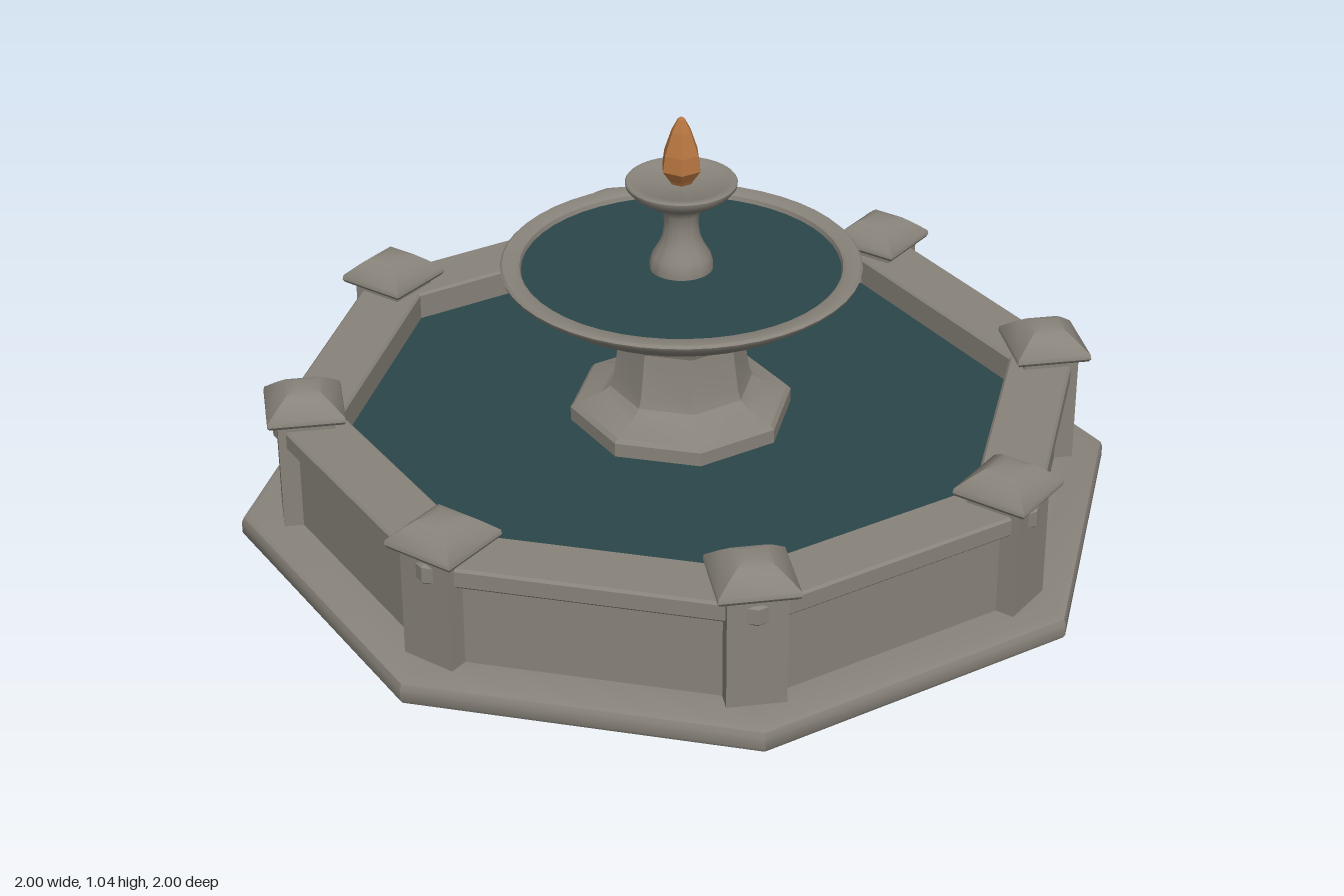
import * as THREE from 'three';
import { toCreasedNormals } from 'three/addons/utils/BufferGeometryUtils.js';

const stone = new THREE.MeshStandardMaterial({ color: 0x88837a });
stone.name = 'stone';
const water = new THREE.MeshStandardMaterial({ color: 0x2b4649, side: THREE.DoubleSide });
water.name = 'water';
const copper = new THREE.MeshStandardMaterial({ color: 0xb5753f });
copper.name = 'copper';

// Lathe whose profile is [distance to flat side, height]; flats face the axes
function prism(profile, sides, crease = 0.35) {
  const k = 1 / Math.cos(Math.PI / sides);
  const pts = profile.map(([r, y]) => new THREE.Vector2(r * k, y));
  return toCreasedNormals(new THREE.LatheGeometry(pts, sides, Math.PI / sides), crease);
}

// Smooth round lathe that keeps sharp rims
function turned(profile) {
  const pts = profile.map(([r, y]) => new THREE.Vector2(r, y));
  return toCreasedNormals(new THREE.LatheGeometry(pts, 48), 0.7);
}

// Flat sheet of water
function pool(radius, sides, y) {
  const g = new THREE.CircleGeometry(radius / Math.cos(Math.PI / sides), sides, Math.PI / sides);
  return g.rotateX(-Math.PI / 2).translate(0, y, 0);
}

export function createModel() {
  const group = new THREE.Group();
  group.name = 'fountain';
  const add = (name, geometry, material, parent = group) => {
    const mesh = new THREE.Mesh(geometry, material);
    mesh.name = name;
    parent.add(mesh);
    return mesh;
  };

  // Octagonal basin, open underneath, with a hollowed underside
  add('basePlinth', prism([
    [0.762, 0.055], [0.985, 0], [0.995, 0.003], [1, 0.012], [1, 0.04], [0.995, 0.053], [0.98, 0.06], [0.88, 0.06],
  ], 8, 0.6), stone);
  add('basinWall', prism([
    [0.89, 0.05], [0.89, 0.27], [0.91, 0.27], [0.916, 0.276], [0.916, 0.314], [0.91, 0.32],
    [0.768, 0.32], [0.762, 0.314], [0.762, 0.055],
  ], 8), stone);
  add('basinWater', pool(0.764, 8, 0.25), water);

  // Corner posts with pyramid caps
  const postShaft = new THREE.BoxGeometry(0.137, 0.29, 0.137).translate(0, 0.195, 0);
  const postCap = prism([
    [0, 0.335], [0.075, 0.335], [0.088, 0.34], [0.093, 0.348], [0.091, 0.36],
    [0.06, 0.388], [0.04, 0.404], [0.018, 0.41], [0, 0.41],
  ], 4, 0.7);
  for (let i = 0; i < 8; i++) {
    const a = (i + 0.5) * Math.PI / 4;
    const post = new THREE.Group();
    post.name = 'cornerPost';
    post.position.set(0.913 * Math.sin(a), 0, 0.913 * Math.cos(a));
    post.rotation.y = a;
    add('postShaft', postShaft, stone, post);
    add('postCap', postCap, stone, post);
    group.add(post);
  }

  // Octagonal pedestal rising from the water, its foot a ring just below it
  add('pedestal', prism([
    [0.235, 0.25], [0.235, 0.225], [0.252, 0.225], [0.252, 0.285], [0.243, 0.295], [0.182, 0.318],
    [0.162, 0.335], [0.154, 0.36], [0.14, 0.47], [0.146, 0.49], [0.168, 0.51], [0.175, 0.525], [0.175, 0.545],
  ], 8), stone);

  // Large bowl
  add('largeBowl', turned([
    [0.1, 0.53], [0.17, 0.533], [0.235, 0.545], [0.3, 0.566], [0.36, 0.597], [0.405, 0.628], [0.43, 0.648],
    [0.433, 0.656], [0.427, 0.662], [0.395, 0.662], [0.386, 0.656], [0.38, 0.635],
  ]), stone);
  add('largeBowlWater', pool(0.385, 48, 0.645), water);

  // Slender stem and small bowl
  add('stem', turned([
    [0.076, 0.64], [0.076, 0.66], [0.07, 0.68], [0.055, 0.705], [0.045, 0.73], [0.041, 0.76],
    [0.043, 0.79], [0.05, 0.805], [0.06, 0.815], [0.06, 0.83],
  ]), stone);
  add('smallBowl', turned([
    [0.03, 0.814], [0.06, 0.817], [0.092, 0.828], [0.117, 0.845], [0.132, 0.862], [0.133, 0.87],
    [0.13, 0.874], [0.116, 0.874], [0.11, 0.87], [0, 0.868],
  ]), stone);

  // Faceted finial
  add('finial', prism([
    [0.022, 0.866], [0.028, 0.878], [0.044, 0.905], [0.039, 0.945], [0.022, 1.0], [0.008, 1.03], [0, 1.037],
  ], 6, 0.01), copper);

  return group;
}
